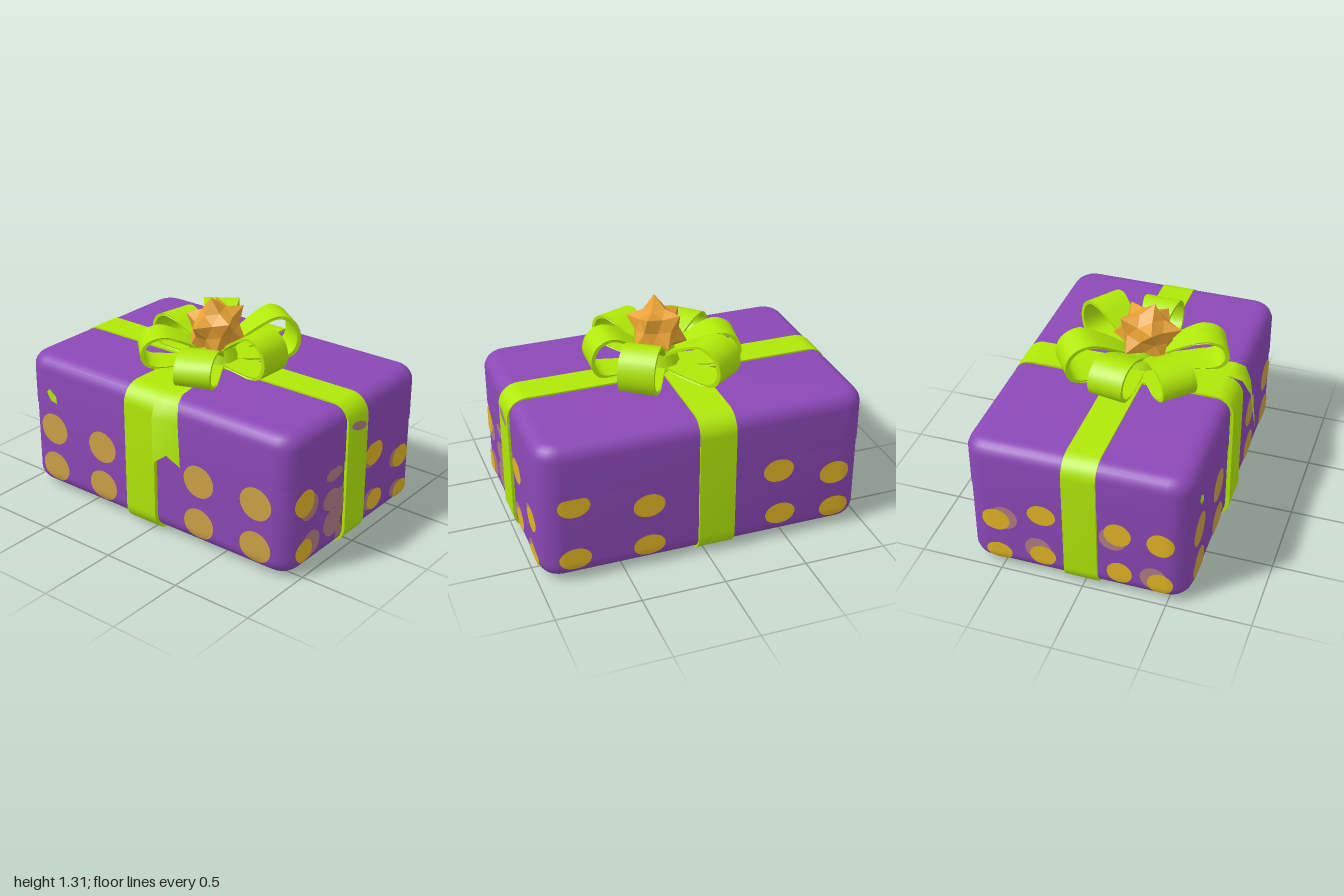
import * as THREE from 'three';
import { toCreasedNormals } from 'three/addons/utils/BufferGeometryUtils.js';

const mat = (name, color, side = THREE.FrontSide) => {
  const m = new THREE.MeshStandardMaterial({ color, side });
  m.name = name;
  return m;
};

// Box extents and rounding
const HX = 0.982, HZ = 0.66, ZC = -0.04, Y0 = 0.015, Y1 = 0.88;
const CORNER = 0.13, EDGE = 0.1;

// Stack of rounded rectangles, one per [inset, y]
function roundedLoft(profile) {
  const steps = 6, n = steps * 4, pos = [], idx = [];
  for (const [inset, y] of profile) {
    const r = CORNER - inset;
    for (let k = 0; k < 4; k++) {
      const sx = k === 0 || k === 3 ? 1 : -1, sz = k < 2 ? 1 : -1;
      for (let i = 0; i < steps; i++) {
        const a = (k + i / (steps - 1)) * Math.PI / 2;
        pos.push(sx * (HX - CORNER) + r * Math.cos(a), y, ZC + sz * (HZ - CORNER) + r * Math.sin(a));
      }
    }
  }
  const last = profile.length - 1;
  for (let j = 0; j < last; j++) for (let i = 0; i < n; i++) {
    const a = j * n + i, b = j * n + (i + 1) % n;
    idx.push(a, a + n, b, b, a + n, b + n);
  }
  for (let i = 1; i < n - 1; i++) {
    idx.push(0, i, i + 1);
    idx.push(last * n, last * n + i + 1, last * n + i);
  }
  const g = new THREE.BufferGeometry();
  g.setAttribute('position', new THREE.Float32BufferAttribute(pos, 3));
  g.setIndex(idx);
  return toCreasedNormals(g.toNonIndexed(), 0.6);
}

function roundRect(target, x0, x1, y0, y1, r) {
  target.moveTo(x0 + r, y0);
  target.lineTo(x1 - r, y0);
  target.absarc(x1 - r, y0 + r, r, -Math.PI / 2, 0);
  target.lineTo(x1, y1 - r);
  target.absarc(x1 - r, y1 - r, r, 0, Math.PI / 2);
  target.lineTo(x0 + r, y1);
  target.absarc(x0 + r, y1 - r, r, Math.PI / 2, Math.PI);
  target.lineTo(x0, y0 + r);
  target.absarc(x0 + r, y0 + r, r, Math.PI, Math.PI * 1.5);
  return target;
}

// Ribbon band running all the way round the box
function bandGeometry(x0, x1, y0, y1, width) {
  const shape = roundRect(new THREE.Shape(), x0, x1, y0, y1, 0.12);
  shape.holes.push(roundRect(new THREE.Path(), x0 + 0.03, x1 - 0.03, y0 + 0.03, y1 - 0.03, 0.09));
  const g = new THREE.ExtrudeGeometry(shape, { depth: width, bevelEnabled: false, curveSegments: 6 });
  return toCreasedNormals(g, 0.6);
}

// Teardrop bow loop pointing along +x, narrower at the knot
function loopGeometry(len, height, width) {
  const pts = [[0.05, 0.03], [0.6, 0.01], [0.9, 0.08], [1, 0.42], [0.93, 0.82], [0.72, 1], [0.45, 0.8], [0.12, 0.36]];
  const curve = new THREE.SplineCurve([...pts, pts[0]].map(([x, y]) => new THREE.Vector2(x * len, y * height)));
  const outer = curve.getPoints(32).slice(0, -1);
  const cx = 0.64 * len, cy = 0.5 * height;
  const shape = new THREE.Shape(outer);
  shape.holes.push(new THREE.Path(outer.map(p => new THREE.Vector2(cx + (p.x - cx) * 0.86, cy + (p.y - cy) * 0.86))));
  const g = new THREE.ExtrudeGeometry(shape, { depth: width, bevelEnabled: false });
  g.translate(0, 0, -width / 2);
  const p = g.attributes.position;
  for (let i = 0; i < p.count; i++) {
    p.setZ(i, p.getZ(i) * (0.45 + 0.55 * Math.min(1, Math.max(0, p.getX(i) / (0.7 * len)))));
  }
  return toCreasedNormals(g, 0.7);
}

// Disc on a box side, bent to follow the rounded edges
function dotGeometry(side, lift, u, v, ru, rv) {
  const g = new THREE.RingGeometry(0.001, 1, 28, 5), p = g.attributes.position;
  const half = side === 'front' || side === 'back' ? HX : HZ;
  const depth = half === HX ? HZ : HX;
  const drop = (d, r) => r - Math.sqrt(r * r - Math.min(Math.max(d, 0), r * 0.95) ** 2);
  for (let i = 0; i < p.count; i++) {
    const a = u + p.getX(i) * ru, b = Math.min(0.55, Math.max(Y0 + 0.01, v + p.getY(i) * rv));
    const inset = drop(Math.abs(a) - (half - CORNER), CORNER) + drop(Y0 + EDGE - b, EDGE);
    p.setXYZ(i, a, b, depth - inset + lift);
  }
  g.rotateY({ front: 0, right: Math.PI / 2, back: Math.PI, left: -Math.PI / 2 }[side]);
  g.translate(0, 0, ZC);
  g.computeVertexNormals();
  return g;
}

export function createModel() {
  const root = new THREE.Group();
  root.name = 'giftBox';
  const purple = mat('purplePaper', 0x8b48b6);
  const green = mat('greenRibbon', 0xb0e808, THREE.DoubleSide);
  const orange = mat('orangeStar', 0xe6a033);
  const tan = mat('tanDots', 0xcaa045);
  const yellow = mat('yellowDots', 0xe0b424);
  const faded = mat('fadedDots', 0xb07c84);
  const dim = mat('undersideDots', 0x905a78);
  const add = (name, geo, material, parent = root) => {
    const m = new THREE.Mesh(geo, material);
    m.name = name;
    parent.add(m);
    return m;
  };

  // Box with a slight lid lip
  const profile = [], arc = 6;
  for (let i = 0; i <= arc; i++) {
    const a = i / arc * Math.PI / 2;
    profile.push([EDGE * (1 - Math.sin(a)), Y0 + EDGE * (1 - Math.cos(a))]);
  }
  profile.push([0, 0.55], [-0.004, 0.552]);
  for (let i = 0; i <= arc; i++) {
    const a = i / arc * Math.PI / 2;
    profile.push([-0.004 + 0.09 * (1 - Math.cos(a)), Y1 - 0.09 * (1 - Math.sin(a))]);
  }
  add('box', roundedLoft(profile), purple);

  // Crossing ribbons
  add('longRibbon', bandGeometry(-1, 1, 0.003, 0.89, 0.2), green).position.z = -0.11;
  const cross = bandGeometry(-0.645, 0.713, 0, 0.893, 0.22);
  cross.rotateY(Math.PI / 2);
  add('crossRibbon', cross, green).position.x = -0.17;

  // Dots: [u, v, radius u, radius v], u runs to the right when facing that side
  const dots = (name, side, material, lift, list) =>
    list.forEach(([u, v, ru, rv = ru]) => add(name, dotGeometry(side, lift, u, v, ru, rv), material));
  for (const x of [-0.77, -0.375, 0.36, 0.76]) {
    dots('frontDot', 'front', tan, 0.005, [[x, x > 0 ? 0.435 : 0.42, 0.107, 0.1], [x, 0.163, 0.107, 0.097]]);
  }
  dots('rightDot', 'right', yellow, 0.006, [[-0.51, 0.45, 0.082], [-0.51, 0.15, 0.072], [0.175, 0.485, 0.09, 0.075],
    [0.475, 0.345, 0.085, 0.07], [0.2, 0.17, 0.08, 0.065], [0.495, 0.115, 0.08, 0.058]]);
  dots('rightFadedDot', 'right', faded, 0.003, [[-0.25, 0.36, 0.085, 0.065], [-0.24, 0.21, 0.085, 0.085],
    [-0.23, 0.515, 0.08, 0.04], [-0.165, 0.31, 0.05, 0.1], [-0.17, 0.12, 0.03, 0.06],
    [-0.47, 0.41, 0.085, 0.08], [-0.45, 0.17, 0.09, 0.08], [0.15, 0.47, 0.08, 0.07],
    [0.42, 0.35, 0.06, 0.06], [0.16, 0.18, 0.08, 0.065], [0.45, 0.13, 0.07, 0.055]]);
  dots('backDot', 'back', yellow, 0.005, [[-0.79, 0.5, 0.095, 0.07], [-0.35, 0.41, 0.095, 0.075],
    [-0.79, 0.15, 0.095, 0.07], [-0.35, 0.14, 0.095, 0.07], [0.44, 0.47, 0.095, 0.075], [0.8, 0.38, 0.095, 0.075],
    [0.46, 0.17, 0.095, 0.07], [0.81, 0.14, 0.095, 0.07]]);
  dots('leftDot', 'left', yellow, 0.006, [[-0.48, 0.36, 0.085, 0.075], [-0.47, 0.12, 0.08, 0.065],
    [-0.2, 0.46, 0.085, 0.07], [-0.2, 0.16, 0.08, 0.07], [0.25, 0.44, 0.08], [0.5, 0.43, 0.08],
    [0.26, 0.16, 0.075], [0.5, 0.14, 0.075]]);
  dots('leftFadedDot', 'left', faded, 0.003, [[-0.43, 0.38, 0.08], [-0.23, 0.2, 0.08], [0.22, 0.4, 0.08], [0.46, 0.17, 0.08]]);

  // Faded patches underneath
  for (const x of [-0.72, -0.38, 0.3, 0.7]) for (const z of [-0.42, -0.24, 0.33]) {
    const g = new THREE.CircleGeometry(0.1, 20);
    g.rotateX(Math.PI / 2);
    add('undersideDot', g, dim).position.set(x + z * 0.2, Y0 - 0.004, z);
  }

  // Small green fleck on the front and a faded smear on the right ribbon
  const fleck = new THREE.CircleGeometry(0.05, 5);
  fleck.scale(1.1, 0.6, 1);
  fleck.rotateZ(-0.8);
  add('greenFleck', fleck, green).position.set(-0.77, 0.64, ZC + HZ + 0.01);
  const smear = new THREE.CircleGeometry(0.08, 12);
  smear.scale(1, 0.35, 1);
  smear.rotateZ(-0.3);
  smear.rotateY(Math.PI / 2);
  add('ribbonSmear', smear, faded).position.set(1.003, 0.74, -0.015);

  // Bow: [tip x, tip z, height]
  const bow = new THREE.Group();
  bow.name = 'bow';
  bow.position.set(0.03, 0.893, 0.03);
  root.add(bow);
  for (const [x, z, h] of [[0.31, -0.36, 0.28], [-0.26, -0.38, 0.25], [-0.44, -0.05, 0.22],
    [-0.3, 0.36, 0.2], [0.21, 0.5, 0.2], [0.47, 0.05, 0.25]]) {
    const dx = x - bow.position.x, dz = z - bow.position.z;
    add('bowLoop', loopGeometry(Math.hypot(dx, dz), h, 0.215), green, bow).rotation.y = Math.atan2(-dz, dx);
  }
  add('bowKnot', new THREE.CylinderGeometry(0.08, 0.13, 0.14, 10), green, bow).position.y = 0.07;

  // Ribbon tail with a notched end: rows of [left x, right x, y, left z, twist]
  const rows = [[0.0, 0.14, 0.9, 0.25, 0], [0.04, 0.19, 0.9, 0.55, 0], [0.055, 0.21, 0.87, 0.635, 0.02],
    [0.075, 0.23, 0.77, 0.685, 0.04], [0.1, 0.26, 0.51, 0.715, 0.05]];
  const pos = [], idx = [];
  rows.forEach(([l, r, y, z, twist], j) => {
    const notch = j === rows.length - 1 ? 0.06 : 0;
    pos.push(l, y, z, (l + r) / 2, y + notch, z - twist / 2, r, y, z - twist);
    if (j) for (let c = 0; c < 2; c++) {
      const a = (j - 1) * 3 + c, b = j * 3 + c;
      idx.push(a, b, a + 1, a + 1, b, b + 1);
    }
  });
  const tail = new THREE.BufferGeometry();
  tail.setAttribute('position', new THREE.Float32BufferAttribute(pos, 3));
  tail.setIndex(idx);
  tail.computeVertexNormals();
  add('ribbonTail', tail, green);

  // Faceted star: twelve corners of an icosahedron drawn out into spikes
  const tips = new THREE.IcosahedronGeometry(1, 0).attributes.position;
  const star = new THREE.IcosahedronGeometry(1, 1), sp = star.attributes.position;
  const v = new THREE.Vector3(), t = new THREE.Vector3();
  for (let i = 0; i < sp.count; i++) {
    v.fromBufferAttribute(sp, i).normalize();
    let spike = false;
    for (let k = 0; k < tips.count; k++) spike ||= t.fromBufferAttribute(tips, k).dot(v) > 0.99;
    v.multiplyScalar(spike ? 0.2 : 0.138);
    sp.setXYZ(i, v.x, v.y, v.z);
  }
  star.rotateZ(0.553);
  star.rotateY(0.3);
  star.rotateX(0.22);
  star.scale(0.95, 1, 1.08);
  star.computeVertexNormals();
  add('star', star, orange).position.set(0.035, 1.115, 0.055);

  return root;
}
